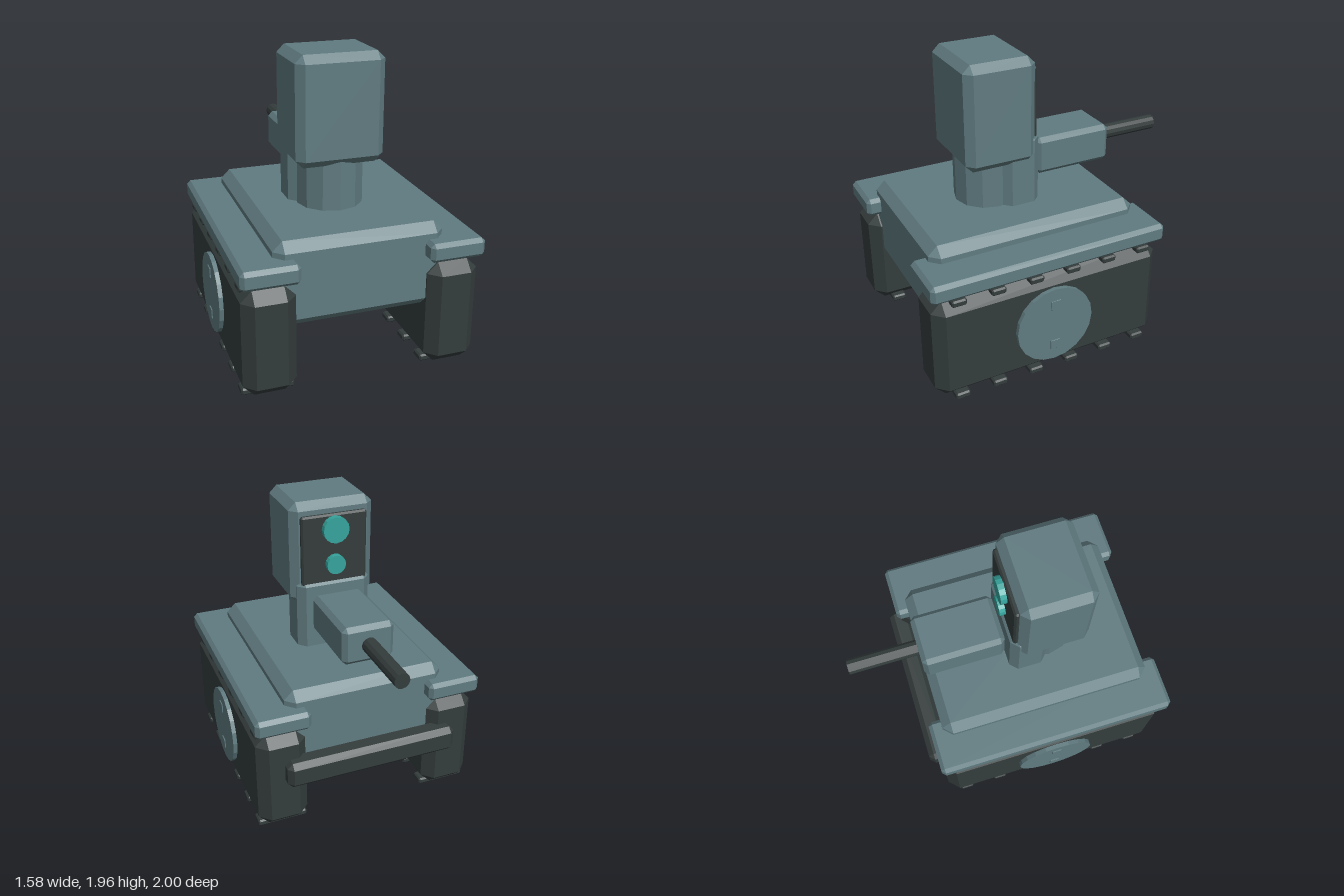
import * as THREE from 'three';
import { ConvexGeometry } from 'three/addons/geometries/ConvexGeometry.js';

const armour = new THREE.MeshStandardMaterial({ color: 0x607b80 });
armour.name = 'armour grey-teal';
const dark = new THREE.MeshStandardMaterial({ color: 0x343c3c });
dark.name = 'dark rubber';
const lensTeal = new THREE.MeshStandardMaterial({ color: 0x36a39c });
lensTeal.name = 'lens teal';

// Box with all edges chamfered by c, given by its limits on each axis
function chamferBox(name, [x0, x1], [y0, y1], [z0, z1], c, material) {
  const h = [(x1 - x0) / 2, (y1 - y0) / 2, (z1 - z0) / 2];
  const points = [];
  for (const sx of [-1, 1]) for (const sy of [-1, 1]) for (const sz of [-1, 1])
    for (let axis = 0; axis < 3; axis++) {
      const p = h.map((v, i) => (i === axis ? v : v - c));
      points.push(new THREE.Vector3(sx * p[0], sy * p[1], sz * p[2]));
    }
  const mesh = new THREE.Mesh(new ConvexGeometry(points), material);
  mesh.name = name;
  mesh.position.set((x0 + x1) / 2, (y0 + y1) / 2, (z0 + z1) / 2);
  return mesh;
}

// Flat-sided cylinder lying along the chosen axis
function rod(name, axis, radius, length, sides, position, material) {
  const geometry = new THREE.CylinderGeometry(radius, radius, length, sides).toNonIndexed();
  geometry.computeVertexNormals();
  if (axis === 'x') geometry.rotateZ(Math.PI / 2);
  if (axis === 'z') geometry.rotateX(Math.PI / 2);
  const mesh = new THREE.Mesh(geometry, material);
  mesh.name = name;
  mesh.position.set(...position);
  return mesh;
}

// Limits mirrored to the side s
const side = (s, a, b) => (s > 0 ? [a, b] : [-b, -a]);

function trackUnit(s) {
  const unit = new THREE.Group();
  unit.name = s > 0 ? 'leftTrack' : 'rightTrack';
  unit.add(chamferBox('trackBody', side(s, 0.42, 0.755), [0.025, 0.717], [-0.592, 0.985], 0.07, dark));
  unit.add(chamferBox('fender', side(s, 0.405, 0.768), [0.748, 0.872], [-0.615, 1], 0.025, armour));
  // Tread pads above and below
  for (let i = 0; i < 6; i++) {
    const z = 0.823 - i * 0.2574;
    for (const y of [0, 0.692])
      unit.add(chamferBox('treadPad', side(s, 0.42, 0.753), [y, y + 0.044], [z - 0.048, z + 0.048], 0.01, dark));
  }
  // Hub disc with two bolts
  unit.add(rod('hubDisc', 'x', 0.265, 0.05, 20, [s * 0.758, 0.37, 0.197], armour));
  for (const y of [0.22, 0.52])
    unit.add(chamferBox('hubBolt', side(s, 0.76, 0.79), [y - 0.033, y + 0.033], [0.165, 0.23], 0.001, armour));
  return unit;
}

export function createModel() {
  const model = new THREE.Group();
  model.name = 'trackedRobot';

  // Body
  model.add(chamferBox('hull', [-0.54, 0.54], [0.417, 0.967], [-0.53, 0.905], 0.06, armour));
  model.add(chamferBox('rearBumper', [-0.585, 0.585], [0.362, 0.542], [-0.672, -0.52], 0.035, dark));
  for (const s of [-1, 1]) model.add(trackUnit(s));

  // Neck and head
  model.add(rod('neck', 'y', 0.215, 0.4, 12, [0, 1.15, 0.3], armour));
  model.add(chamferBox('neckBlock', [-0.255, 0.255], [0.9, 1.45], [0.02, 0.278], 0.05, armour));
  model.add(chamferBox('head', [-0.285, 0.285], [1.262, 1.957], [0.062, 0.54], 0.05, armour));

  // Face panel and lenses
  model.add(chamferBox('facePanel', [-0.225, 0.225], [1.4, 1.875], [0.036, 0.09], 0.012, dark));
  model.add(rod('upperLens', 'z', 0.088, 0.045, 16, [0, 1.778, 0.019], lensTeal));
  model.add(rod('lowerLens', 'z', 0.065, 0.045, 16, [0, 1.54, 0.019], lensTeal));

  // Gun
  model.add(chamferBox('gunHousing', [-0.173, 0.173], [1.1, 1.355], [-0.54, 0.006], 0.03, armour));
  model.add(rod('gunBarrel', 'z', 0.051, 0.5, 12, [0, 1.226, -0.75], dark));

  return model;
}
